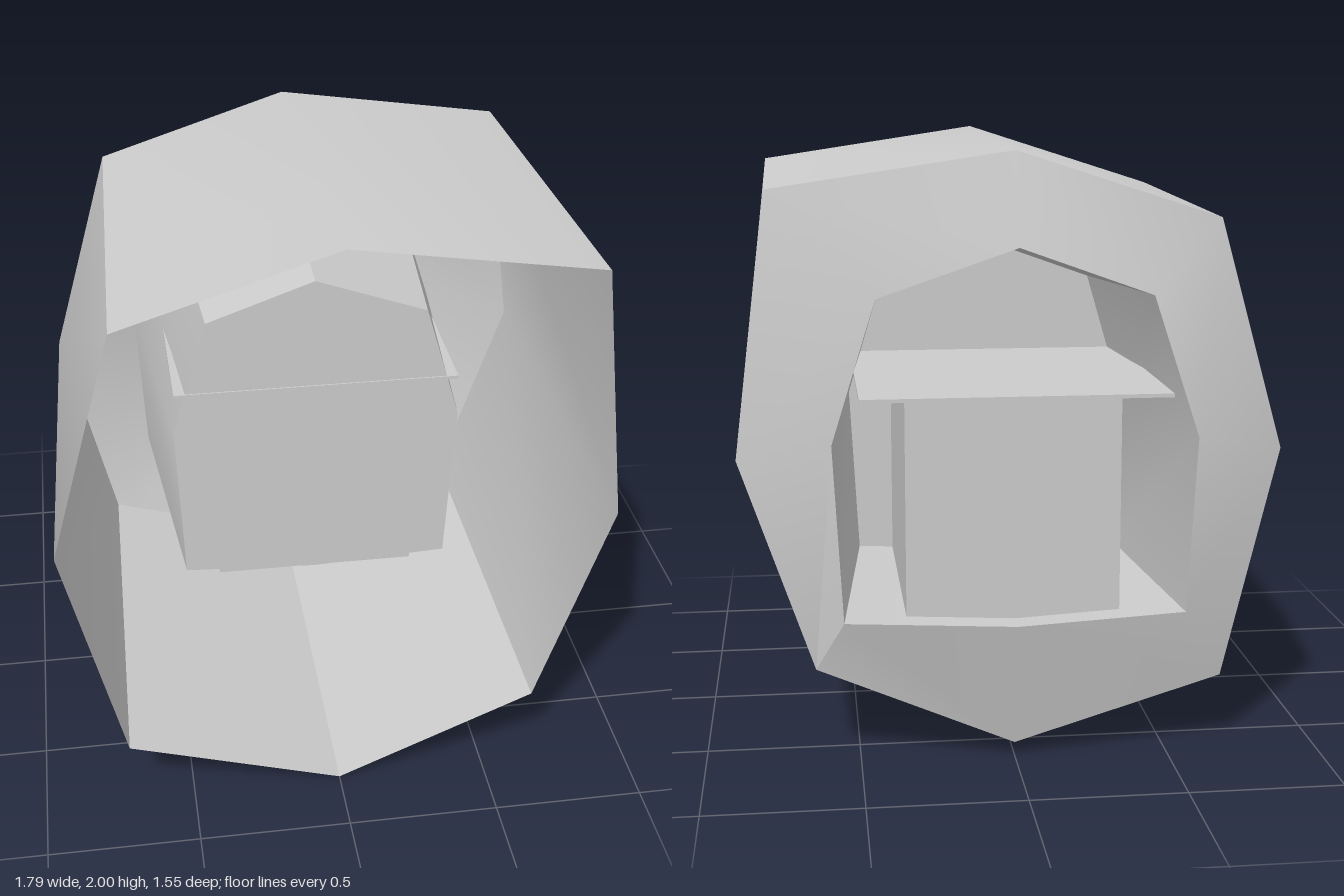
import * as THREE from 'three';
import { toCreasedNormals } from 'three/addons/utils/BufferGeometryUtils.js';

const material = new THREE.MeshStandardMaterial({ color: 0xcccccc, side: THREE.DoubleSide });

// Eight-sided cross-sections, clockwise from the top: [x, y]
const mouth = [[0, 2], [0.79, 1.88], [0.895, 1.01], [0.66, 0.29], [0, 0], [-0.71, 0.22], [-0.9, 1.01], [-0.69, 1.78]];
const shoulder = [[0, 1.96], [0.77, 1.845], [0.875, 1.01], [0.64, 0.32], [0, 0.045], [-0.68, 0.25], [-0.86, 1.01], [-0.65, 1.75]];
const rim = [[0, 1.67], [0.44, 1.52], [0.58, 1.07], [0.55, 0.5], [0, 0.47], [-0.54, 0.5], [-0.57, 1.07], [-0.42, 1.52]];
const inner = [[0, 1.61], [0.38, 1.475], [0.5, 1.07], [0.47, 0.495], [0, 0.47], [-0.46, 0.495], [-0.485, 1.07], [-0.365, 1.48]];

const at = (ring, z) => ring.map(([x, y]) => [x, y, z]);

// Skin consecutive rings; optionally close the last one with a fan
function loft(rings, closeEnd) {
  const pos = [];
  const n = rings[0].length;
  for (let r = 0; r < rings.length - 1; r++) {
    const a = rings[r], b = rings[r + 1];
    for (let i = 0; i < n; i++) {
      const j = (i + 1) % n;
      pos.push(...a[i], ...a[j], ...b[i], ...a[j], ...b[j], ...b[i]);
    }
  }
  if (closeEnd) {
    const end = rings[rings.length - 1];
    const centre = [0, 1.07, end[0][2]];
    for (let i = 0; i < n; i++) pos.push(...centre, ...end[i], ...end[(i + 1) % n]);
  }
  const geo = new THREE.BufferGeometry();
  geo.setAttribute('position', new THREE.Float32BufferAttribute(pos, 3));
  return toCreasedNormals(geo, THREE.MathUtils.degToRad(30));
}

// Box given by its minimum and maximum corners
function block(min, max) {
  const size = max.map((v, i) => v - min[i]);
  const geo = new THREE.BoxGeometry(...size);
  geo.translate(...min.map((v, i) => v + size[i] / 2));
  return geo;
}

export function createModel() {
  const group = new THREE.Group();
  const add = (name, geo) => {
    const mesh = new THREE.Mesh(geo, material);
    mesh.name = name;
    group.add(mesh);
  };

  // Open-fronted outer shell with a shallow tapered back
  add('outerShell', loft([at(mouth, 0.775), at(shoulder, -0.645), at(rim, -0.738)], false));

  // Recess running forward from the back opening, closed by an end wall
  add('recess', loft([at(rim, -0.738), at(inner, 0.18)], true));

  // Block standing in the recess, under a thin shelf
  add('block', block([-0.34, 0.466, -0.65], [0.35, 1.21, 0.17]));
  add('shelf', block([-0.48, 1.207, -0.775], [0.495, 1.219, 0.185]));

  return group;
}
